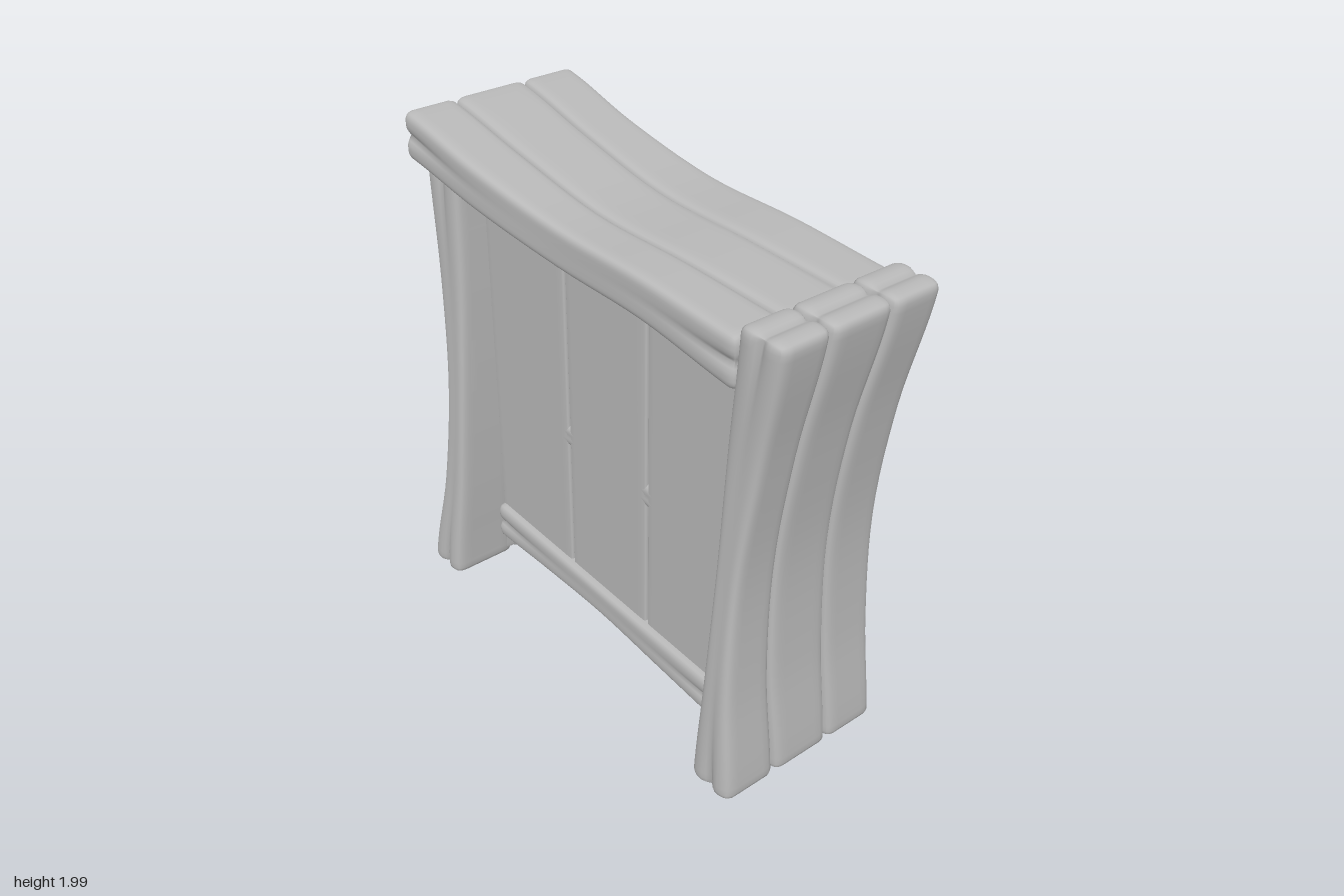
import * as THREE from 'three';
import { mergeVertices, mergeGeometries } from 'three/addons/utils/BufferGeometryUtils.js';
import { RoundedBoxGeometry } from 'three/addons/geometries/RoundedBoxGeometry.js';

const clay = new THREE.MeshStandardMaterial({ color: 0xb8b8b8 });
clay.name = 'clay grey';

function add(parent, name, geometry, x = 0, y = 0, z = 0) {
  const mesh = new THREE.Mesh(geometry, clay);
  mesh.name = name;
  mesh.position.set(x, y, z);
  parent.add(mesh);
  return mesh;
}

// Smooth curve through evenly spaced values, read at t = 0..1
function curve(values) {
  const list = Array.isArray(values) ? values : [values, values];
  const spline = new THREE.SplineCurve(list.map((v, i) => new THREE.Vector2(i, v)));
  return t => spline.getPoint(Math.min(1, Math.max(0, t))).y;
}

// Joins the seams of a geometry and smooths it
function smooth(geometry) {
  geometry.deleteAttribute('uv');
  geometry.deleteAttribute('normal');
  const joined = mergeVertices(geometry, 1e-5);
  joined.computeVertexNormals();
  return joined;
}

// Warped, rounded plank with split ends. axes = [along, wide, thick];
// wide and thick limits are curves along the length.
function plank(axes, [start, end], w0, w1, t0, t1, groove = 0.022, radius = 0.03) {
  const [cw0, cw1, ct0, ct1] = [w0, w1, t0, t1].map(curve);
  const half = [(end - start) / 2, (cw1(0.5) - cw0(0.5)) / 2, (ct1(0.5) - ct0(0.5)) / 2];
  const r = Math.min(radius, half[1] * 0.9, half[2] * 0.9);
  const segments = { [axes[0]]: 36, [axes[1]]: 12, [axes[2]]: 18 };
  const geometry = new THREE.BoxGeometry(2, 2, 2, segments.x, segments.y, segments.z);
  const position = geometry.attributes.position;
  const p = new THREE.Vector3();
  for (let i = 0; i < position.count; i++) {
    p.fromBufferAttribute(position, i);
    const full = axes.map((axis, k) => Math.sin(p[axis] * Math.PI / 2) * half[k]);
    const core = full.map((v, k) => Math.max(-half[k] + r, Math.min(half[k] - r, v)));
    const off = new THREE.Vector3(...full.map((v, k) => v - core[k]));
    if (off.length() > 0) off.setLength(r);
    let [a, b, c] = [off.x, off.y, off.z].map((v, k) => (core[k] + v) / half[k]);
    // crack in the end and fading along the sides
    const mid = Math.exp(-((c / 0.18) ** 2)) * groove;
    const nearEnd = Math.exp(-((1 - Math.abs(a)) * half[0]) / 0.18);
    b -= Math.sign(b) * Math.abs(b) ** 8 * mid * nearEnd / half[1];
    a -= Math.sign(a) * Math.abs(a) ** 60 * mid * 0.7 / half[0];
    const t = (a + 1) / 2;
    p[axes[0]] = start + (end - start) * t;
    p[axes[1]] = THREE.MathUtils.lerp(cw0(t), cw1(t), (b + 1) / 2);
    p[axes[2]] = THREE.MathUtils.lerp(ct0(t), ct1(t), (c + 1) / 2);
    position.setXYZ(i, p.x, p.y, p.z);
  }
  return smooth(geometry);
}

// Row of planks between neighbouring edge curves, with a thin board
// lining the seams on the inside
function panel(parent, name, axes, range, edges, low, high, liningLow, liningHigh) {
  const group = new THREE.Group();
  group.name = name;
  for (let i = 0; i + 1 < edges.length; i++) {
    add(group, name + 'Plank', plank(axes, range, edges[i], edges[i + 1], low, high));
  }
  const w0 = edges[0].map(v => v + 0.03), w1 = edges[edges.length - 1].map(v => v - 0.03);
  add(group, name + 'Lining', plank(axes, [range[0] + 0.03, range[1] - 0.03],
    w0, w1, liningLow, liningHigh, 0, 0.01));
  parent.add(group);
}

const shift = (values, d) => values.map(v => v + d);

function lathe(points) {
  return new THREE.LatheGeometry(points.map(([x, y]) => new THREE.Vector2(x, y)), 40);
}

// Flask with lip ring and cork, a little flattened front to back; y is its base
function bottle(parent, x, y, z, r, height) {
  const group = new THREE.Group();
  group.name = 'bottle';
  group.position.set(x, y, z);
  const lip = height - 0.085;
  const neck = 0.055, centre = r * 0.96;
  const profile = [[0, 0]];
  const top = Math.acos(neck / r) - 0.1;
  for (let i = 0; i <= 22; i++) {
    const a = THREE.MathUtils.lerp(-0.95, top, i / 22);
    profile.push([r * Math.cos(a), Math.max(0, centre + r * Math.sin(a) * (a < 0 ? 1.18 : 1))]);
  }
  profile.push([neck + 0.004, centre + r + 0.015], [neck, lip - 0.03], [neck, lip], [0, lip]);
  add(group, 'flask', lathe(profile)).scale.x = 0.88;
  const ring = new THREE.TorusGeometry(0.054, 0.02, 12, 36);
  add(group, 'lip', ring.rotateX(Math.PI / 2), 0, lip, 0);
  add(group, 'cork', new THREE.CylinderGeometry(0.056, 0.044, 0.08, 28), 0, height - 0.04, 0);
  parent.add(group);
}

// Skull facing its own +z, with dented sockets and nose
function skull(parent) {
  const group = new THREE.Group();
  group.name = 'skull';
  group.position.set(0.08, 0.5, -0.41);
  group.rotation.y = 0.62;
  const dents = [[-0.092, 0.01, 0.056, 0.07], [0.092, 0.01, 0.056, 0.07], [0, -0.06, 0.026, 0.045]];
  const lump = (sx, sy, sz, oy, oz) => {
    const geometry = new THREE.SphereGeometry(1, 72, 56);
    const position = geometry.attributes.position;
    for (let i = 0; i < position.count; i++) {
      const x = position.getX(i) * sx, y = position.getY(i) * sy + oy;
      let z = position.getZ(i) * sz + oz;
      if (z > 0.04) {
        for (const [dx, dy, r, depth] of dents) {
          z -= depth * Math.exp(-((Math.hypot(x - dx, y - dy) / r) ** 4));
        }
      }
      position.setXYZ(i, x, y, z);
    }
    return smooth(geometry);
  };
  add(group, 'cranium', lump(0.19, 0.165, 0.215, 0.003, -0.005));
  add(group, 'upperJaw', lump(0.115, 0.065, 0.105, -0.09, 0.11));
  for (const side of [-1, 1]) {
    const cheek = add(group, 'cheekbone', new THREE.SphereGeometry(1, 24, 16), side * 0.115, -0.075, 0.09);
    cheek.scale.set(0.05, 0.035, 0.08);
    cheek.rotation.y = side * 0.5;
  }
  for (let i = -2; i <= 2; i++) {
    const tooth = new RoundedBoxGeometry(0.043, 0.07, 0.045, 3, 0.012);
    add(group, 'tooth', tooth, i * 0.042, -0.138, 0.178 - i * i * 0.012);
  }
  parent.add(group);
}

// Corner cobweb: spokes from the hub joined by sagging threads
function cobweb(parent) {
  const hub = new THREE.Vector3(0.26, 1.75, -0.7);
  const ends = [[1.71, -0.19], [1.62, -0.26], [1.52, -0.36], [1.43, -0.51], [1.42, -0.69]]
    .map(([y, z]) => new THREE.Vector3(0.26, y, z));
  const thread = (points, r) =>
    new THREE.TubeGeometry(new THREE.CatmullRomCurve3(points), 10, r, 6);
  const threads = ends.map(e => thread([hub, hub.clone().lerp(e, 0.5), e], 0.006));
  for (const f of [0.3, 0.52, 0.74, 0.96]) {
    for (let i = 0; i + 1 < ends.length; i++) {
      const a = hub.clone().lerp(ends[i], f), b = hub.clone().lerp(ends[i + 1], f);
      const sag = a.clone().add(b).multiplyScalar(0.5).lerp(hub, 0.12);
      threads.push(thread([a, sag, b], 0.005));
    }
  }
  add(parent, 'cobweb', mergeGeometries(threads));
}

export function createModel() {
  const model = new THREE.Group();
  model.name = 'potionShelf';

  // Upright sides and sloping top, three planks each
  const frontIn = [0.725, 0.745, 0.75, 0.75, 0.78];
  panel(model, 'frontSide', ['y', 'x', 'z'], [0.01, 1.88],
    [[-0.35, -0.325, -0.29, -0.265, -0.265], [-0.11, -0.12, -0.11, -0.09, -0.055],
      [0.15, 0.14, 0.135, 0.15, 0.2], [0.38, 0.365, 0.355, 0.365, 0.41]],
    frontIn, [0.93, 0.88, 0.865, 0.91, 0.98], frontIn, shift(frontIn, 0.04));
  const backIn = [-0.72, -0.7, -0.69, -0.69, -0.7];
  panel(model, 'backSide', ['y', 'x', 'z'], [0.01, 1.82],
    [[-0.42, -0.38, -0.345, -0.315, -0.3], [-0.13, -0.13, -0.12, -0.11, -0.1],
      [0.14, 0.13, 0.13, 0.15, 0.18], [0.375, 0.355, 0.35, 0.36, 0.4]],
    [-0.92, -0.84, -0.81, -0.85, -0.9], backIn, shift(backIn, -0.04), backIn);
  const topIn = [1.81, 1.75, 1.695, 1.685, 1.635];
  panel(model, 'top', ['z', 'x', 'y'], [-0.98, 0.785],
    [[-0.33, -0.32, -0.285, -0.275, -0.27], [-0.11, -0.105, -0.095, -0.08, -0.06],
      [0.195, 0.18, 0.175, 0.18, 0.2], [0.42, 0.395, 0.405, 0.415, 0.42]],
    topIn, [2.0, 1.925, 1.855, 1.85, 1.83], topIn, shift(topIn, 0.04));

  // Shelves
  add(model, 'middleShelf', plank(['z', 'x', 'y'], [-0.695, 0.735], -0.19,
    [0.34, 0.33, 0.335, 0.33, 0.35], [0.835, 0.865, 0.88, 0.85, 0.805], [0.965, 0.97, 0.975, 0.965, 0.945]));
  add(model, 'bottomShelf', plank(['z', 'x', 'y'], [-0.695, 0.735], -0.22,
    [0.39, 0.36, 0.36, 0.36, 0.4], [0.16, 0.185, 0.2, 0.18, 0.16], 0.33));

  // Thin boards closing the back, with narrow gaps
  for (const [z0, z1] of [[-0.685, -0.195], [-0.185, 0.27], [0.28, 0.75]]) {
    add(model, 'backBoard', plank(['y', 'z', 'x'], [0.22, 1.76], z0, z1, -0.19, -0.145, 0, 0.012));
  }

  // Things on the shelves
  bottle(model, 0.1, 0.97, 0.495, 0.16, 0.485);
  bottle(model, 0.11, 0.97, 0.125, 0.168, 0.45);
  bottle(model, 0.1, 0.325, 0.435, 0.168, 0.43);
  add(model, 'jar', lathe([[0, 0], [0.17, 0], [0.193, 0.012], [0.2, 0.04], [0.2, 0.29],
    [0.19, 0.33], [0.165, 0.355], [0.16, 0.38], [0, 0.38]]), 0.11, 0.97, -0.34);
  add(model, 'jarLid', lathe([[0, 0.36], [0.155, 0.36], [0.17, 0.37], [0.172, 0.385], [0.16, 0.395],
    [0.16, 0.41], [0.178, 0.42], [0.18, 0.465], [0.17, 0.48], [0, 0.482]]), 0.11, 0.97, -0.34);
  skull(model);
  cobweb(model);
  return model;
}
